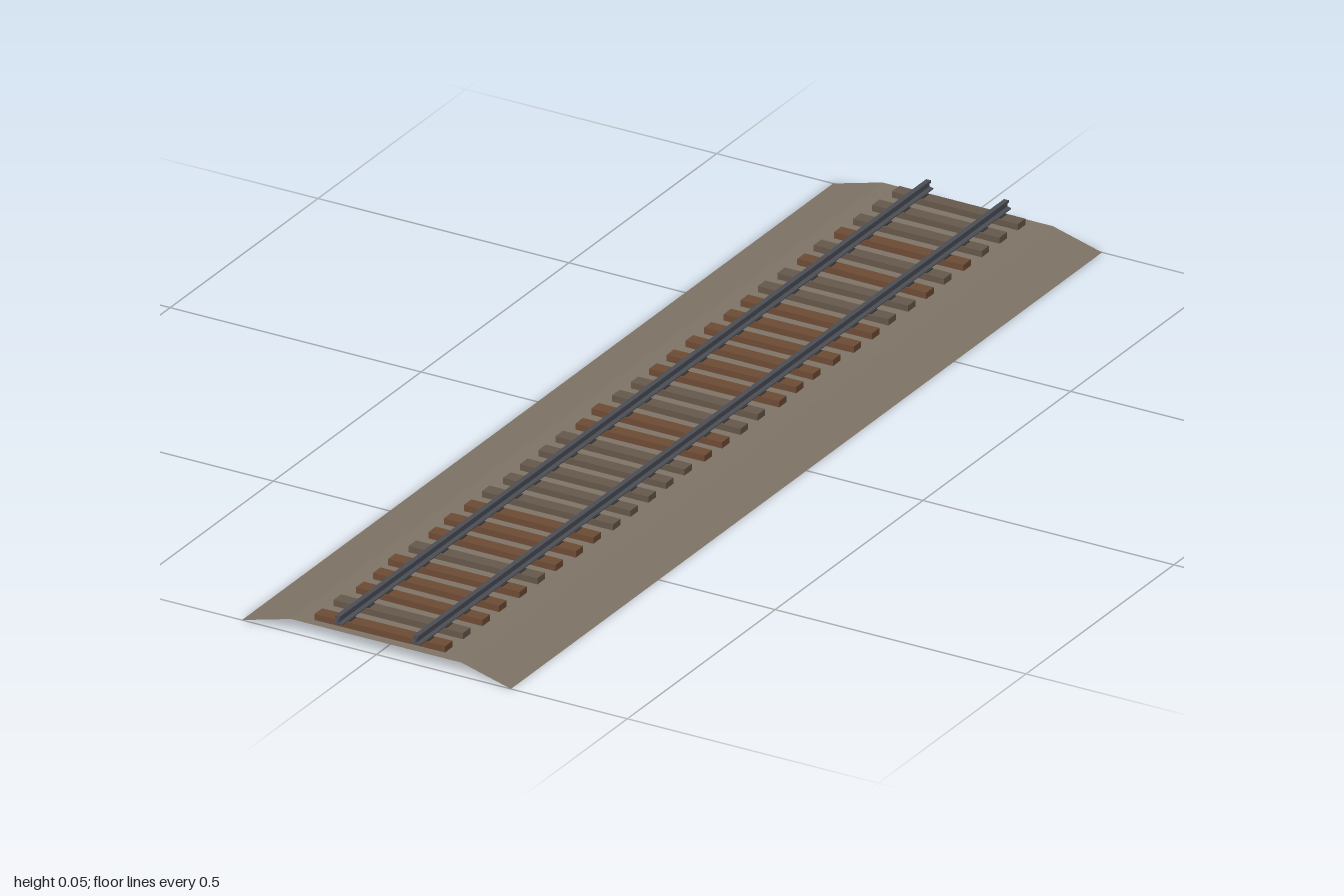
import * as THREE from 'three';

const mat = (color, extra = {}) => new THREE.MeshStandardMaterial({ color, flatShading: true, ...extra });

// small seeded generator for the uneven ties, -1..1
let seed = 7;
const jitter = () => {
  seed = (seed * 16807) % 2147483647;
  return (seed / 2147483647) * 2 - 1;
};

// I-profile with head, web and foot, extruded along the track
function railGeometry(length) {
  const half = [
    [0.0095, 0.0385], [0.0095, 0.0402], [0.002, 0.0418],
    [0.002, 0.0485], [0.0048, 0.0495], [0.0048, 0.054],
  ];
  const mirrored = half.map(([x, y]) => [-x, y]).reverse();
  const shape = new THREE.Shape([...half, ...mirrored].map(([x, y]) => new THREE.Vector2(x, y)));
  const geo = new THREE.ExtrudeGeometry(shape, { depth: length, bevelEnabled: false });
  return geo.translate(0, 0, -length / 2);
}

// open sheet: flat crown with a slope on both sides
function ballastGeometry() {
  const profile = [[-0.268, 0], [-0.17, 0.026], [0.17, 0.026], [0.268, 0]];
  const geo = new THREE.PlaneGeometry(1, 2, 3, 1).rotateX(-Math.PI / 2);
  const pos = geo.attributes.position;
  for (let i = 0; i < pos.count; i++) {
    const [x, y] = profile[i % 4];
    pos.setX(i, x);
    pos.setY(i, y);
  }
  return geo;
}

export function createModel() {
  const track = new THREE.Group();
  track.name = 'railwayTrack';
  const add = (name, geo, material, x = 0, y = 0, z = 0) => {
    const mesh = new THREE.Mesh(geo, material);
    mesh.name = name;
    mesh.position.set(x, y, z);
    track.add(mesh);
    return mesh;
  };

  const steel = mat(0x4a4e55);
  const plateSteel = mat(0x3a3836);
  const freshWood = mat(0x6b4a33);
  const agedWood = mat(0x65574a);

  add('ballast', ballastGeometry(), mat(0x7d7265, { side: THREE.DoubleSide }));

  // rails
  const gauge = 0.0775;
  const railGeo = railGeometry(2);
  add('leftRail', railGeo, steel, gauge);
  add('rightRail', railGeo, steel, -gauge);

  // ties with a plate under each rail; b = brown, g = greyed
  const woods = 'gggbgbggbbbbbbggbbgggggbbbgbbbgb';
  const plateGeo = new THREE.BoxGeometry(0.026, 0.002, 0.02);
  [...woods].forEach((wood, i) => {
    const z = -1 + (i + 0.5) * 2 / woods.length;
    const tieGeo = new THREE.BoxGeometry(0.257 + 0.005 * jitter(), 0.0145, 0.0255);
    const tie = add('tie', tieGeo, wood === 'b' ? freshWood : agedWood, 0.003 * jitter() - 0.002, 0.0305, z);
    tie.rotation.y = 0.015 * jitter();
    for (const side of [-1, 1]) add('tiePlate', plateGeo, plateSteel, side * gauge, 0.0385, z);
  });

  return track;
}
